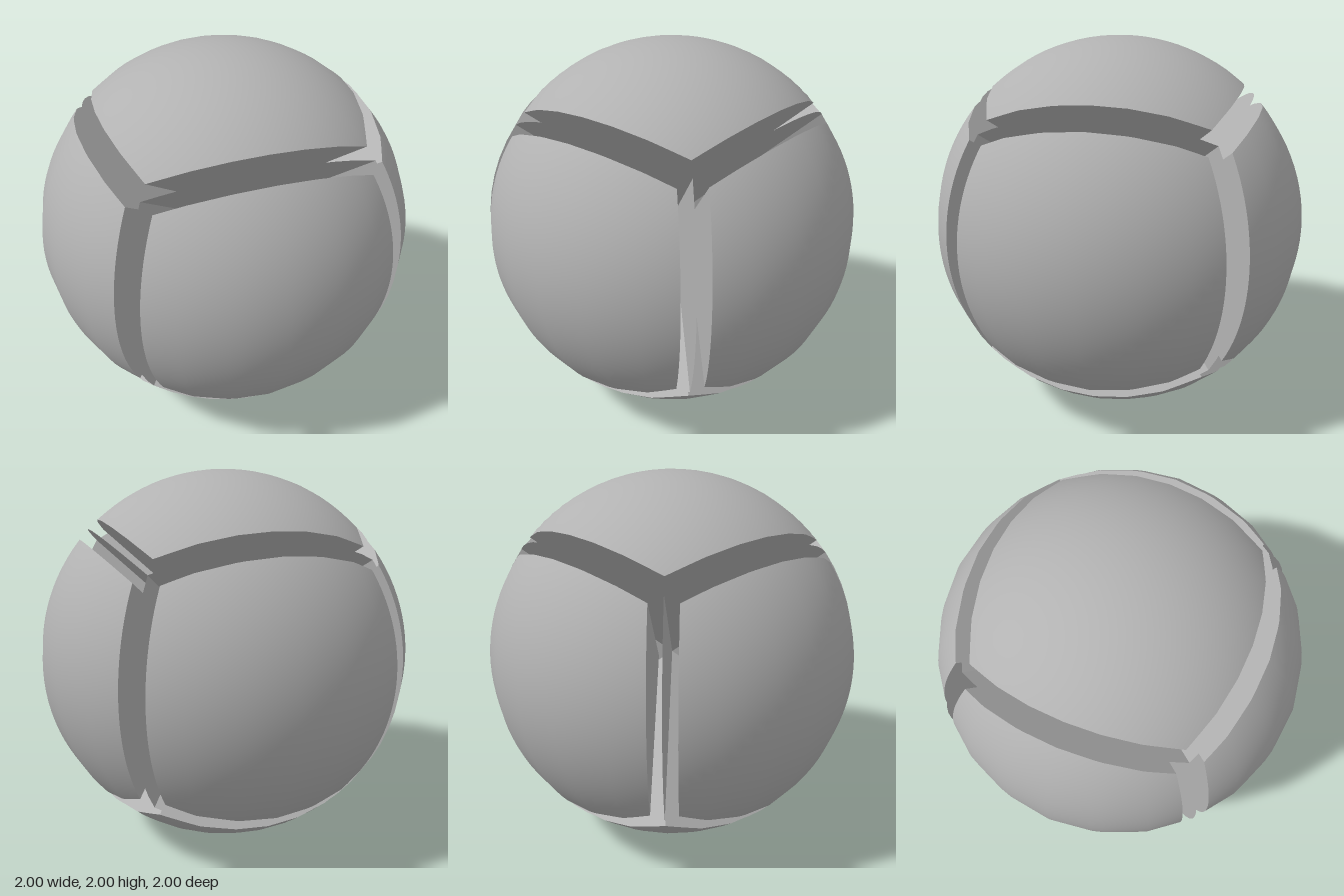
import * as THREE from 'three';

const GAP = 0.1;          // distance of each panel's apex from the ball's centre
const SEG = 24;           // grid divisions per panel
const STEP = Math.PI / 12; // the ball has 24 flat sides around its vertical axis

const AXES = [new THREE.Vector3(1, 0, 0), new THREE.Vector3(0, 1, 0), new THREE.Vector3(0, 0, 1)];
const NAMES = [['leftPanel', 'rightPanel'], ['topPanel', 'bottomPanel'], ['frontPanel', 'backPanel']];

// Size of a point measured against the 24-sided ball: 1 lies on its surface
function ballSize(p) {
  const phi = THREE.MathUtils.euclideanModulo(Math.atan2(p.z, p.x), STEP) - STEP / 2;
  const r = Math.hypot(p.x, p.z) * Math.cos(phi) / Math.cos(STEP / 2);
  return Math.hypot(r, p.y);
}

// Point on the ball along a ray from a panel's apex
function surfacePoint(apex, dir) {
  let lo = 0, hi = 1.2;
  const p = new THREE.Vector3();
  for (let i = 0; i < 24; i++) {
    const mid = (lo + hi) / 2;
    p.copy(apex).addScaledVector(dir, mid);
    if (ballSize(p) < 1) lo = mid; else hi = mid;
  }
  return p;
}

// One wedge: a domed outer face and four flat walls meeting at the apex
function makePanel(axis, sign, material) {
  const N = AXES[axis].clone().multiplyScalar(sign);
  const U = AXES[(axis + 1) % 3];
  const V = AXES[(axis + 2) % 3].clone().multiplyScalar(sign);
  const apex = N.clone().multiplyScalar(GAP);
  const slope = (i) => Math.tan((2 * i / SEG - 1) * Math.PI / 4);

  const points = [];
  for (let j = 0; j <= SEG; j++) {
    for (let i = 0; i <= SEG; i++) {
      const dir = N.clone().addScaledVector(U, slope(i)).addScaledVector(V, slope(j));
      points.push(surfacePoint(apex, dir));
    }
  }
  const at = (i, j) => j * (SEG + 1) + i;

  const index = [];
  for (let j = 0; j < SEG; j++) {
    for (let i = 0; i < SEG; i++) {
      const a = at(i, j), b = at(i + 1, j), c = at(i + 1, j + 1), d = at(i, j + 1);
      index.push(a, b, c, a, c, d);
    }
  }
  const domeGeo = new THREE.BufferGeometry().setFromPoints(points);
  domeGeo.setIndex(index);
  const normals = points.flatMap((p) => p.clone().normalize().toArray());
  domeGeo.setAttribute('normal', new THREE.Float32BufferAttribute(normals, 3));
  const dome = new THREE.Mesh(domeGeo, material);
  dome.name = 'dome';

  const wallPoints = [];
  for (let i = 0; i < SEG; i++) {
    const k = SEG - i;
    const rim = [
      [at(i, 0), at(i + 1, 0)],
      [at(SEG, i), at(SEG, i + 1)],
      [at(k, SEG), at(k - 1, SEG)],
      [at(0, k), at(0, k - 1)],
    ];
    for (const [a, b] of rim) wallPoints.push(apex, points[b], points[a]);
  }
  const wallGeo = new THREE.BufferGeometry().setFromPoints(wallPoints);
  wallGeo.computeVertexNormals();
  const walls = new THREE.Mesh(wallGeo, material);
  walls.name = 'walls';

  const panel = new THREE.Group();
  panel.add(dome, walls);
  return panel;
}

// Thin fan-shaped sheet in the middle of a groove, from the centre to the surface
function makeDivider(axis, s1, s2, material) {
  const half = Math.atan(Math.SQRT1_2);
  const geo = new THREE.CircleGeometry(1, 12, -half, 2 * half);
  const out = AXES[(axis + 1) % 3].clone().multiplyScalar(s1)
    .addScaledVector(AXES[(axis + 2) % 3], s2).normalize();
  const along = AXES[axis];
  geo.applyMatrix4(new THREE.Matrix4().makeBasis(out, along, out.clone().cross(along)));
  const divider = new THREE.Mesh(geo, material);
  divider.name = 'grooveDivider';
  return divider;
}

export function createModel() {
  const grey = new THREE.MeshStandardMaterial({ color: 0xb2b2b2, side: THREE.DoubleSide });
  grey.name = 'grey';

  const model = new THREE.Group();
  model.name = 'segmentedBall';
  for (let axis = 0; axis < 3; axis++) {
    [1, -1].forEach((sign, n) => {
      const panel = makePanel(axis, sign, grey);
      panel.name = NAMES[axis][n];
      model.add(panel);
      for (const other of [1, -1]) model.add(makeDivider(axis, sign, other, grey));
    });
  }
  for (const part of model.children) part.position.y = 1;
  return model;
}
